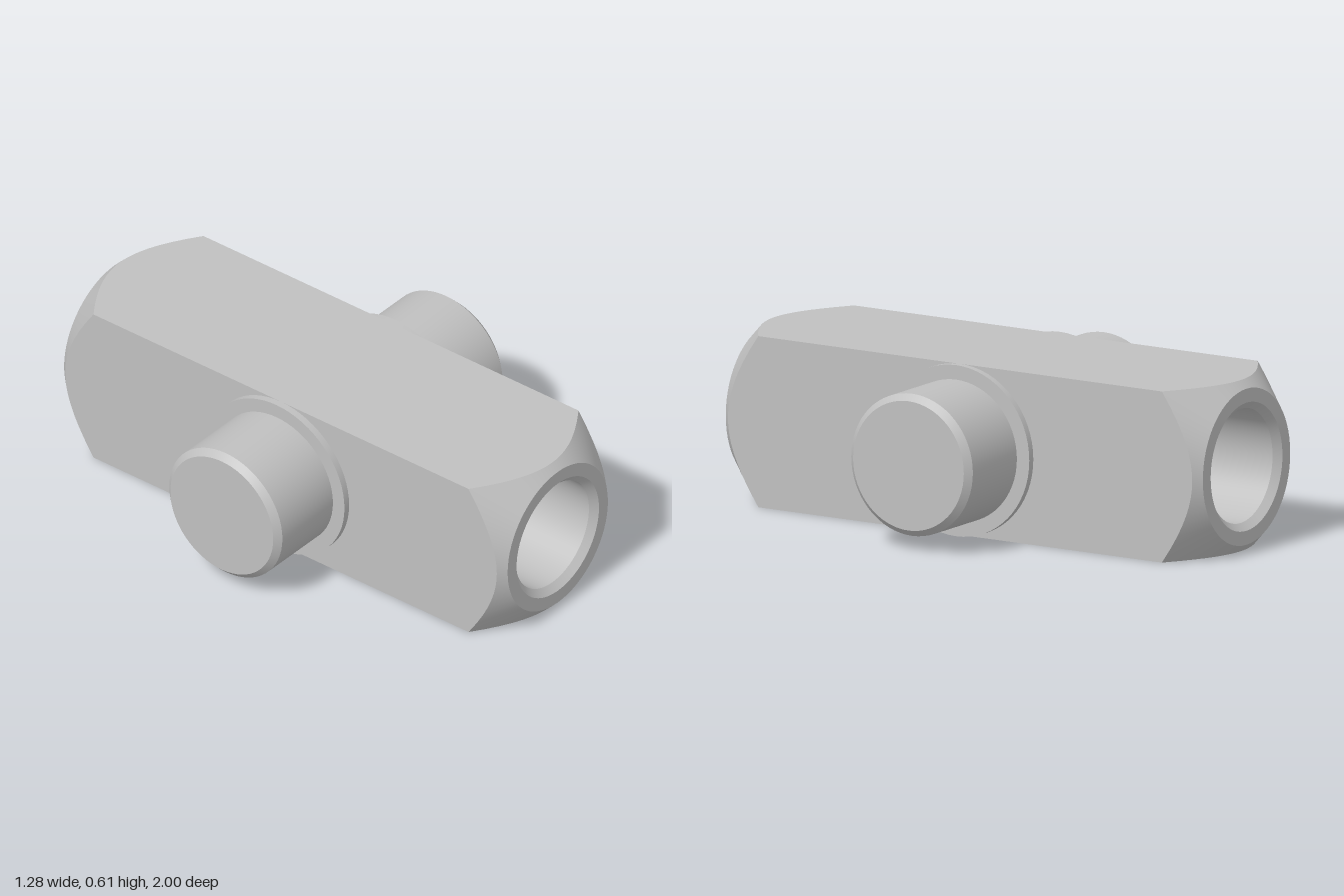
import * as THREE from 'three';
import { toCreasedNormals } from 'three/addons/utils/BufferGeometryUtils.js';

const HALF = 0.307; // half width of the square bar
const SEGMENTS = 64; // a multiple of 8, so that the bar corners are hit

// Square bar with coned ends and a chamfered through bore:
// closed cross-section rings swept along the outside and back through the bore
function barGeometry() {
  const face = 0.28, mouth = 0.23, bore = 0.205;
  const shoulder = (s) => 1 - (s - face); // 45 degree cone meets the flat sides
  const rings = [
    () => [mouth, 1], () => [face, 1],
    (s) => [s, shoulder(s)], (s) => [s, -shoulder(s)],
    () => [face, -1], () => [mouth, -1],
    () => [bore, -0.975], () => [bore, 0.975],
  ];
  const positions = [], indices = [];
  for (const ring of rings) {
    for (let i = 0; i < SEGMENTS; i++) {
      const a = (i / SEGMENTS) * Math.PI * 2, c = Math.cos(a), s = Math.sin(a);
      const [r, z] = ring(HALF / Math.max(Math.abs(c), Math.abs(s)));
      positions.push(r * c, r * s, z);
    }
  }
  for (let k = 0; k < rings.length; k++) {
    const next = (k + 1) % rings.length;
    for (let i = 0; i < SEGMENTS; i++) {
      const j = (i + 1) % SEGMENTS;
      const a = k * SEGMENTS + i, b = k * SEGMENTS + j;
      const c = next * SEGMENTS + i, d = next * SEGMENTS + j;
      indices.push(a, c, b, b, c, d);
    }
  }
  const geometry = new THREE.BufferGeometry();
  geometry.setAttribute('position', new THREE.Float32BufferAttribute(positions, 3));
  geometry.setIndex(indices);
  return toCreasedNormals(geometry, 0.4);
}

// Collar and chamfered pin, turned around y
function trunnionGeometry() {
  const profile = [
    [HALF, 0.3], [HALF, 0.333], [0.255, 0.333],
    [0.255, 0.615], [0.232, 0.638], [0, 0.638],
  ].map(([r, y]) => new THREE.Vector2(r, y));
  return toCreasedNormals(new THREE.LatheGeometry(profile, SEGMENTS), 0.4);
}

export function createModel() {
  const model = new THREE.Group();
  model.name = 'trunnionBlock';
  const steel = new THREE.MeshStandardMaterial({ color: 0xc0c0c0 });
  steel.name = 'steelGrey';

  const bar = new THREE.Mesh(barGeometry(), steel);
  bar.name = 'boredBar';
  bar.position.y = HALF;
  model.add(bar);

  const pin = trunnionGeometry();
  for (const side of [1, -1]) {
    const trunnion = new THREE.Mesh(pin, steel);
    trunnion.name = side > 0 ? 'leftTrunnion' : 'rightTrunnion';
    trunnion.rotation.z = (-side * Math.PI) / 2;
    trunnion.position.y = HALF;
    model.add(trunnion);
  }
  return model;
}
